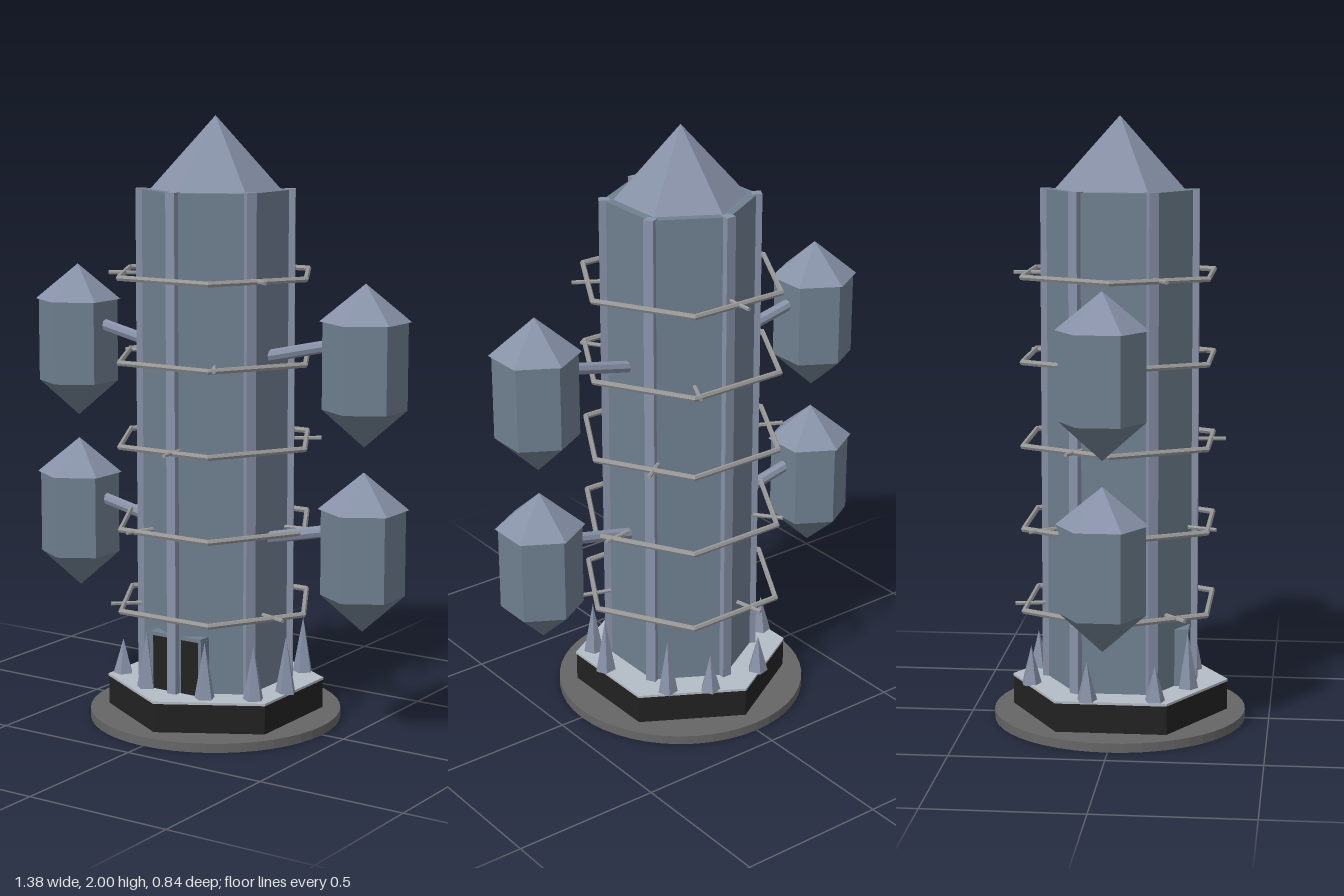
import * as THREE from 'three';

const mat = (color) => new THREE.MeshStandardMaterial({ color, flatShading: true });
const steel = mat(0x708090), slate = mat(0x8892a8), metal = mat(0x999999);
const dark = mat(0x222222), stone = mat(0x666666), pale = mat(0xb4bcc6);

function add(parent, name, geometry, material, x = 0, y = 0, z = 0) {
  const mesh = new THREE.Mesh(geometry, material);
  mesh.name = name;
  mesh.position.set(x, y, z);
  parent.add(mesh);
  return mesh;
}

// Upright prism between two heights
function prism(parent, name, material, r, y0, y1, sides = 6, rTop = r) {
  return add(parent, name, new THREE.CylinderGeometry(rTop, r, y1 - y0, sides), material, 0, (y0 + y1) / 2);
}

// Round bar between two points
function rod(parent, name, material, a, b, r, sides = 8) {
  const dir = b.clone().sub(a);
  const mesh = add(parent, name, new THREE.CylinderGeometry(r, r, dir.length(), sides), material);
  mesh.position.copy(a).add(b).multiplyScalar(0.5);
  mesh.quaternion.setFromUnitVectors(new THREE.Vector3(0, 1, 0), dir.normalize());
  return mesh;
}

// Hexagonal capsule with pointed ends and its arm
function pod(side, y) {
  const group = new THREE.Group();
  group.name = 'pod';
  const body = new THREE.Group();
  body.name = 'podBody';
  body.position.set(side * 0.565, y, 0);
  prism(body, 'podShell', steel, 0.135, -0.14, 0.14);
  prism(body, 'podRoof', slate, 0.145, 0.14, 0.26, 6, 0);
  prism(body, 'podPoint', steel, 0, -0.26, -0.14, 6, 0.135);
  group.add(body);
  rod(group, 'podArm', slate, new THREE.Vector3(side * 0.19, y + 0.0, 0),
    new THREE.Vector3(side * 0.46, y + 0.06, 0), 0.02);
  return group;
}

export function createModel() {
  const model = new THREE.Group();
  model.name = 'tower';

  // Base
  prism(model, 'baseDisc', stone, 0.42, 0, 0.03, 48);
  prism(model, 'plinth', dark, 0.36, 0.03, 0.125);
  prism(model, 'plinthTop', pale, 0.362, 0.125, 0.133);

  // Main shaft, corner pillars and roof
  prism(model, 'shaft', steel, 0.248, 0.13, 1.762);
  for (let i = 0; i < 6; i++) {
    const a = i * Math.PI / 3;
    const pillar = add(model, 'cornerPillar', new THREE.BoxGeometry(0.034, 1.635, 0.034), slate,
      Math.sin(a) * 0.242, 0.948, Math.cos(a) * 0.242);
    pillar.rotation.y = a;
  }
  prism(model, 'roof', slate, 0.215, 1.76, 2, 6, 0);

  // Doorway, split by the front corner
  add(model, 'door', new THREE.BoxGeometry(0.18, 0.185, 0.05), dark, 0, 0.2225, 0.21);
  add(model, 'doorLintel', new THREE.BoxGeometry(0.2, 0.012, 0.05), steel, 0, 0.319, 0.211);
  for (const s of [-1, 1])
    add(model, 'doorJamb', new THREE.BoxGeometry(0.012, 0.185, 0.05), steel, s * 0.095, 0.2225, 0.211);

  // Hexagonal rings, each with three short struts turning from ring to ring
  for (let i = 0; i < 5; i++) {
    const y = 1.49 - i * 0.274;
    const ring = add(model, 'ring', new THREE.TorusGeometry(0.345, 0.01, 6, 6), metal, 0, y);
    ring.rotation.x = Math.PI / 2;
    for (let k = 0; k < 3; k++) {
      const a = THREE.MathUtils.degToRad(30 + i * 27 + k * 120);
      const at = (r) => new THREE.Vector3(Math.cos(a) * r, y, Math.sin(a) * r);
      rod(model, 'ringStrut', metal, at(0.25), at(0.35), 0.007, 6);
    }
  }

  // Two pairs of pods
  for (const y of [0.63, 1.23])
    for (const side of [-1, 1]) model.add(pod(side, y));

  // Crystal spikes around the foot: x, z, height
  const spikes = [
    [-0.115, 0.235, 0.19], [0.115, 0.235, 0.19], [0.255, 0.16, 0.18], [0.297, 0.03, 0.19],
    [0.215, -0.21, 0.19], [0.095, -0.287, 0.13], [-0.11, -0.285, 0.13],
    [-0.29, -0.08, 0.13], [-0.28, 0.14, 0.12],
  ];
  spikes.forEach(([x, z, h], i) => {
    const spike = add(model, 'spike', new THREE.ConeGeometry(0.035, h, 5), slate, x, 0.13 + h / 2, z);
    spike.rotation.y = i * 1.3;
  });

  return model;
}
